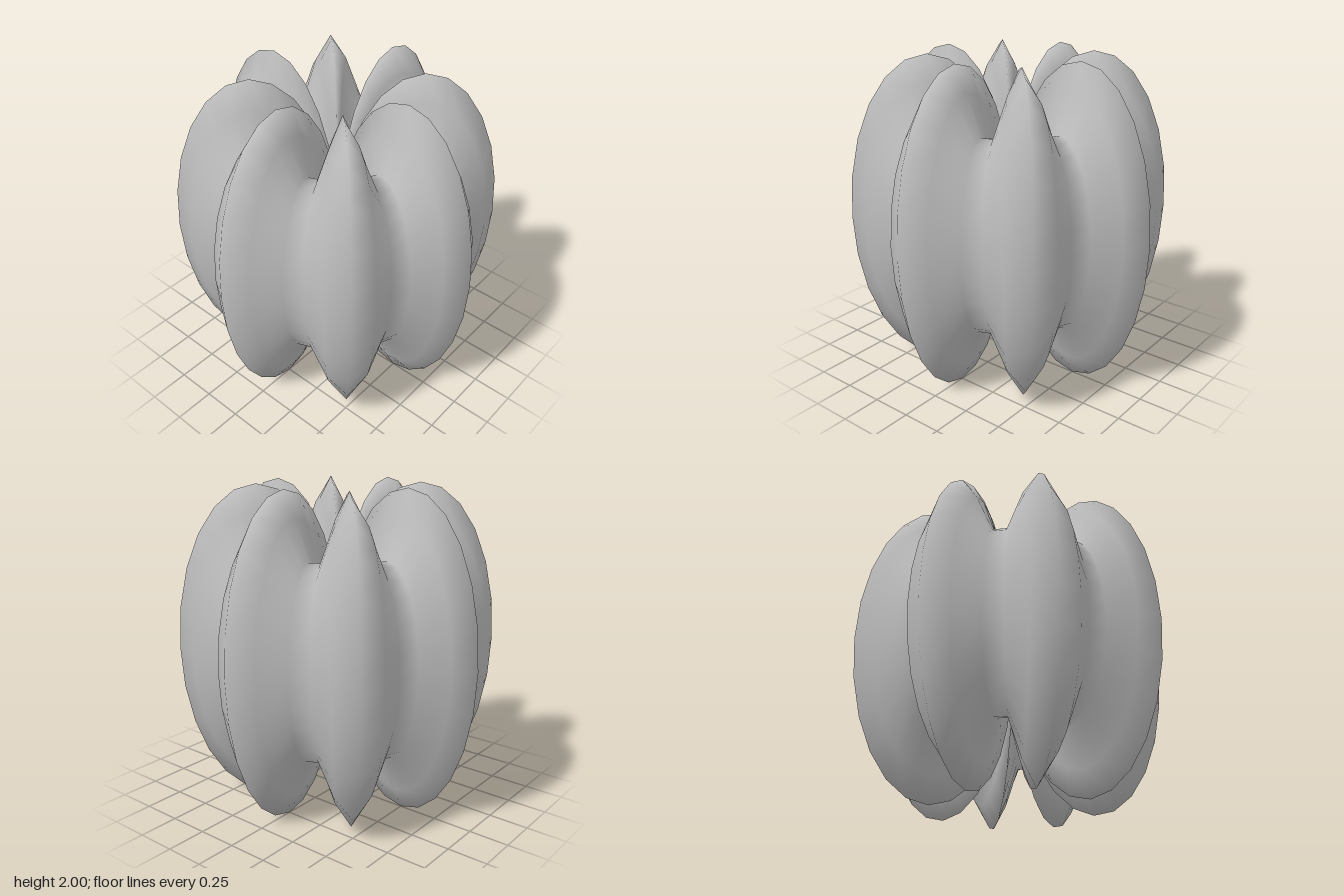
import * as THREE from 'three';
import { mergeVertices } from 'three/addons/utils/BufferGeometryUtils.js';

const LOBES = 8, RING = 0.5, TUBE = 0.5, STRETCH = 2;

// Tube scale around the ring: 1 at each lobe ridge, 0.6 in the valleys
const lobeScale = (angle) => 0.779 + 0.221 * Math.cos(LOBES * angle);

export function createModel() {
  const model = new THREE.Group();
  model.name = 'lobedTorus';

  const grey = new THREE.MeshStandardMaterial({ color: 0xbbbbbb });
  grey.name = 'grey';

  // Ring lying flat, welded at its seams so the shading stays smooth
  let geometry = new THREE.TorusGeometry(RING, TUBE * 0.5, 24, 40);
  geometry.rotateX(-Math.PI / 2);
  geometry.deleteAttribute('uv');
  geometry.deleteAttribute('normal');
  geometry = mergeVertices(geometry, 1e-4);

  // Swell and pinch the tube section around the ring and stretch it upwards
  const p = geometry.attributes.position;
  for (let i = 0; i < p.count; i++) {
    const x = p.getX(i), y = p.getY(i), z = p.getZ(i);
    const angle = Math.atan2(z, x);
    const s = 2 * lobeScale(angle);
    const radius = RING + (Math.hypot(x, z) - RING) * s;
    p.setXYZ(i, radius * Math.cos(angle), 1 + y * s * STRETCH, radius * Math.sin(angle));
  }
  geometry.computeVertexNormals();

  const body = new THREE.Mesh(geometry, grey);
  body.name = 'lobedBody';
  model.add(body);
  return model;
}
